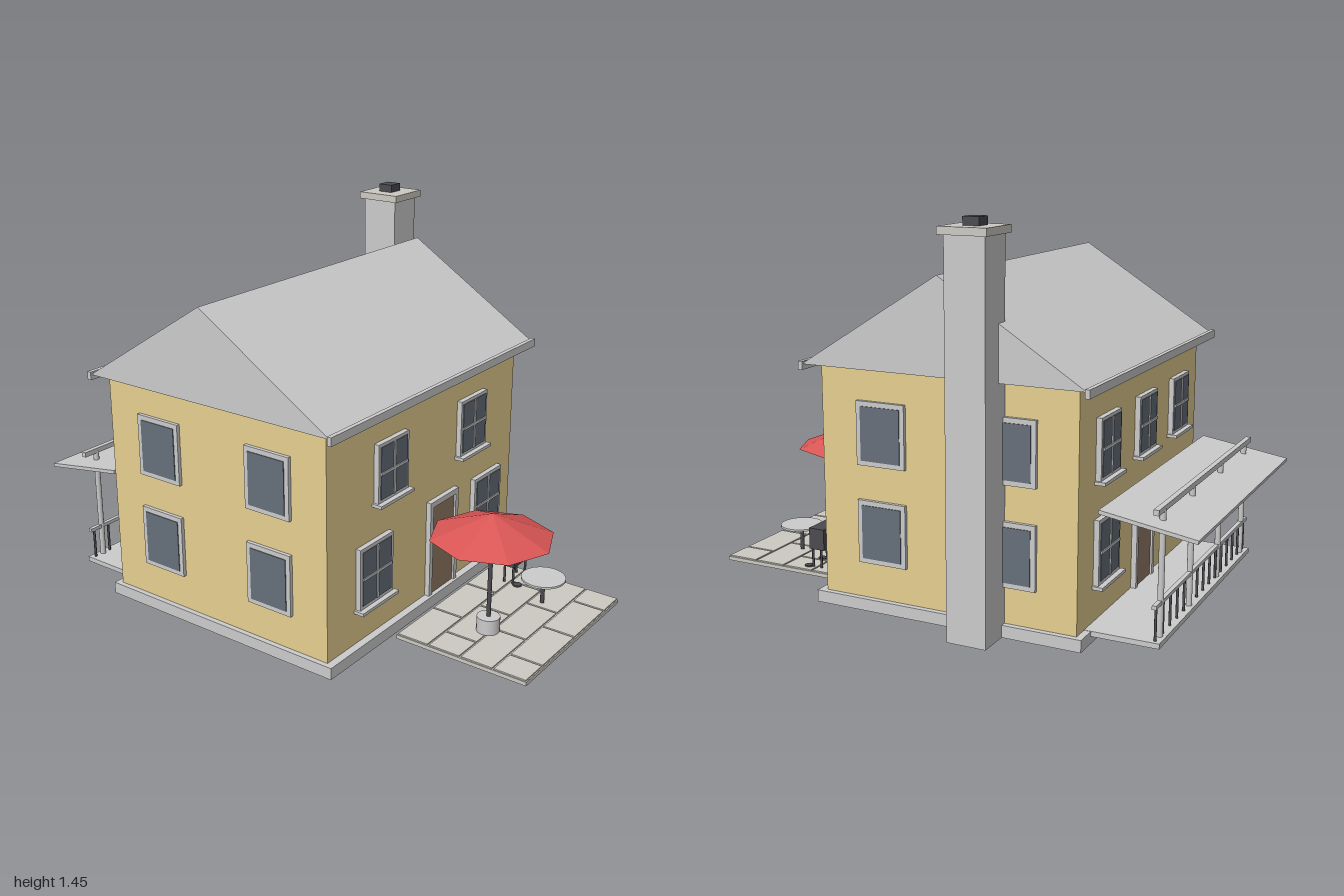
import * as THREE from 'three';

const mat = (color, extra = {}) => new THREE.MeshStandardMaterial({ color, ...extra });
const GREY = mat(0xcccccc), WALL = mat(0xe6cf90), GLASS = mat(0x666f7a), DOOR = mat(0x957b66);
const DARK = mat(0x4a4a50), STONE = mat(0xcccac2);
const RED = mat(0xd95555, { flatShading: true, side: THREE.DoubleSide });

function mesh(parent, name, geometry, material, x = 0, y = 0, z = 0) {
  const m = new THREE.Mesh(geometry, material);
  m.name = name;
  m.position.set(x, y, z);
  parent.add(m);
  return m;
}

// Box given by its extents along each axis
function box(parent, name, material, [x0, x1], [y0, y1], [z0, z1]) {
  return mesh(parent, name, new THREE.BoxGeometry(x1 - x0, y1 - y0, z1 - z0), material,
    (x0 + x1) / 2, (y0 + y1) / 2, (z0 + z1) / 2);
}

// Upright cylinder from y0 to y1
function rod(parent, name, material, r, x, y0, y1, z, sides = 16) {
  return mesh(parent, name, new THREE.CylinderGeometry(r, r, y1 - y0, sides), material, x, (y0 + y1) / 2, z);
}

// Window lying on the local z = 0 plane, facing +z, centred on its frame
function makeWindow(w, h, rim, detailed) {
  const g = new THREE.Group();
  g.name = 'window';
  const d = detailed ? 0.02 : 0.014;
  const a = w / 2, b = h / 2, pw = a - rim, ph = b - rim;
  for (const s of [-1, 1]) {
    mesh(g, 'frameSide', new THREE.BoxGeometry(rim, h, d), GREY, s * (a - rim / 2), 0, d / 2);
    mesh(g, 'frameRail', new THREE.BoxGeometry(2 * pw, rim, d), GREY, 0, s * (b - rim / 2), d / 2);
  }
  box(g, 'glass', GLASS, [-pw, pw], [-ph, ph], [0, d + 0.003]);
  if (detailed) {
    box(g, 'mullion', GREY, [-0.005, 0.005], [-ph, ph], [0, d + 0.007]);
    box(g, 'glazingBar', GREY, [-pw, pw], [-0.005, 0.005], [0, d + 0.007]);
    box(g, 'sill', GREY, [-a - 0.01, a + 0.01], [-b - 0.012, -b], [0, 0.04]);
  }
  return g;
}

// Door with its surround, standing on the local origin and facing +z
function makeDoor() {
  const g = new THREE.Group();
  g.name = 'door';
  for (const s of [-1, 1]) mesh(g, 'jamb', new THREE.BoxGeometry(0.02, 0.385, 0.02), GREY, s * 0.087, 0.1925, 0.01);
  box(g, 'lintel', GREY, [-0.077, 0.077], [0.363, 0.385], [0, 0.02]);
  box(g, 'leaf', DOOR, [-0.077, 0.077], [0, 0.363], [0, 0.012]);
  return g;
}

function place(parent, item, x, y, z, turn) {
  item.position.set(x, y, z);
  item.rotation.y = turn;
  parent.add(item);
}

function buildHouse(root) {
  const g = new THREE.Group();
  g.name = 'house';
  root.add(g);
  box(g, 'foundation', GREY, [-0.69, 0.577], [0, 0.045], [-0.625, 0.43]);
  box(g, 'walls', WALL, [-0.67, 0.555], [0.045, 0.9], [-0.6, 0.4]);

  // Gabled roof: triangular section swept along x
  const s = new THREE.Shape([[-0.45, 0.9], [0.645, 0.9], [0.1, 1.245]].map(p => new THREE.Vector2(...p)));
  const roof = mesh(g, 'roof', new THREE.ExtrudeGeometry(s, { depth: 1.321, bevelEnabled: false }), GREY, -0.716);
  roof.rotation.y = Math.PI / 2;
  box(g, 'frontGutter', GREY, [-0.722, 0.614], [0.88, 0.911], [0.443, 0.46]);
  box(g, 'backGutter', GREY, [-0.722, 0.614], [0.88, 0.911], [-0.658, -0.641]);

  // Chimney
  box(g, 'chimney', GREY, [0.555, 0.7], [0, 1.39], [-0.33, -0.18]);
  box(g, 'chimneyCap', STONE, [0.54, 0.72], [1.39, 1.417], [-0.345, -0.165]);
  box(g, 'chimneyPot', DARK, [0.598, 0.66], [1.417, 1.447], [-0.288, -0.228]);

  // Front openings
  for (const x of [-0.307, 0.23]) place(g, makeWindow(0.185, 0.22, 0.012, true), x, 0.662, 0.4, 0);
  for (const x of [-0.405, 0.355]) place(g, makeWindow(0.2, 0.235, 0.014, true), x, 0.298, 0.4, 0);
  place(g, makeDoor(), 0.037, 0.045, 0.4, 0);

  // Back openings
  for (const x of [-0.43, -0.057, 0.315]) {
    place(g, makeWindow(0.185, 0.22, 0.012, true), x, 0.662, -0.6, Math.PI);
    if (x !== -0.057) place(g, makeWindow(0.2, 0.235, 0.014, true), x, 0.298, -0.6, Math.PI);
  }
  place(g, makeDoor(), -0.057, 0.045, -0.6, Math.PI);

  // Gable end windows
  for (const y of [0.298, 0.662]) for (const z of [0.153, -0.353]) {
    place(g, makeWindow(0.195, 0.235, 0.018, false), 0.555, y, z, Math.PI / 2);
    place(g, makeWindow(0.195, 0.235, 0.018, false), -0.67, y, z, -Math.PI / 2);
  }
}

function buildPorch(root) {
  const g = new THREE.Group();
  g.name = 'backPorch';
  root.add(g);
  box(g, 'deck', GREY, [-0.6, 0.49], [0.027, 0.046], [-0.87, -0.6]);
  const roof = mesh(g, 'porchRoof', new THREE.BoxGeometry(1.145, 0.014, 0.35), GREY, -0.057, 0.453, -0.827);
  roof.rotation.x = -Math.atan2(0.055, 0.345);
  box(g, 'beam', GREY, [-0.605, 0.494], [0.488, 0.508], [-0.858, -0.838]);
  for (const x of [-0.54, -0.225, 0.11, 0.425]) rod(g, 'post', GREY, 0.011, x, 0.046, 0.495, -0.848);
  box(g, 'handrail', GREY, [-0.6, 0.49], [0.162, 0.176], [-0.856, -0.84]);
  for (let i = 0; i < 15; i++) rod(g, 'baluster', DARK, 0.005, -0.58 + i * 0.075, 0.046, 0.164, -0.848, 8);
}

function buildPatio(root) {
  const g = new THREE.Group();
  g.name = 'patio';
  root.add(g);
  box(g, 'slab', STONE, [-0.34, 0.38], [0.01, 0.025], [0.463, 0.995]);

  // Staggered paving stones
  const gap = 0.004, depth = 0.532 / 4;
  for (let r = 0; r < 4; r++) {
    const cuts = r % 2 ? [-0.34, -0.22, 0.02, 0.26, 0.38] : [-0.34, -0.1, 0.14, 0.38];
    const z = 0.463 + r * depth;
    for (let i = 0; i + 1 < cuts.length; i++)
      box(g, 'pavingStone', STONE, [cuts[i] + gap, cuts[i + 1] - gap], [0.025, 0.03], [z + gap, z + depth - gap]);
  }

  // Parasol
  rod(g, 'parasolBase', GREY, 0.043, -0.12, 0.03, 0.088, 0.715, 24);
  rod(g, 'parasolPole', DARK, 0.008, -0.12, 0.03, 0.48, 0.715);
  mesh(g, 'parasolCanopy', new THREE.ConeGeometry(0.227, 0.09, 8, 1, true), RED, -0.12, 0.45, 0.715);

  // Round table
  rod(g, 'tableTop', GREY, 0.084, 0.18, 0.129, 0.137, 0.775, 32);
  rod(g, 'tableLeg', DARK, 0.008, 0.18, 0.03, 0.13, 0.775);

  // Grill
  box(g, 'grillBody', DARK, [0.23, 0.348], [0.105, 0.19], [0.555, 0.622]);
  for (const x of [0.243, 0.337]) {
    for (const z of [0.575, 0.613]) rod(g, 'grillLeg', DARK, 0.005, x, 0.03, 0.106, z, 8);
    rod(g, 'grillFoot', DARK, 0.018, x, 0.03, 0.035, 0.632, 12);
  }
}

export function createModel() {
  const root = new THREE.Group();
  root.name = 'houseWithPatio';
  buildHouse(root);
  buildPorch(root);
  buildPatio(root);
  return root;
}
